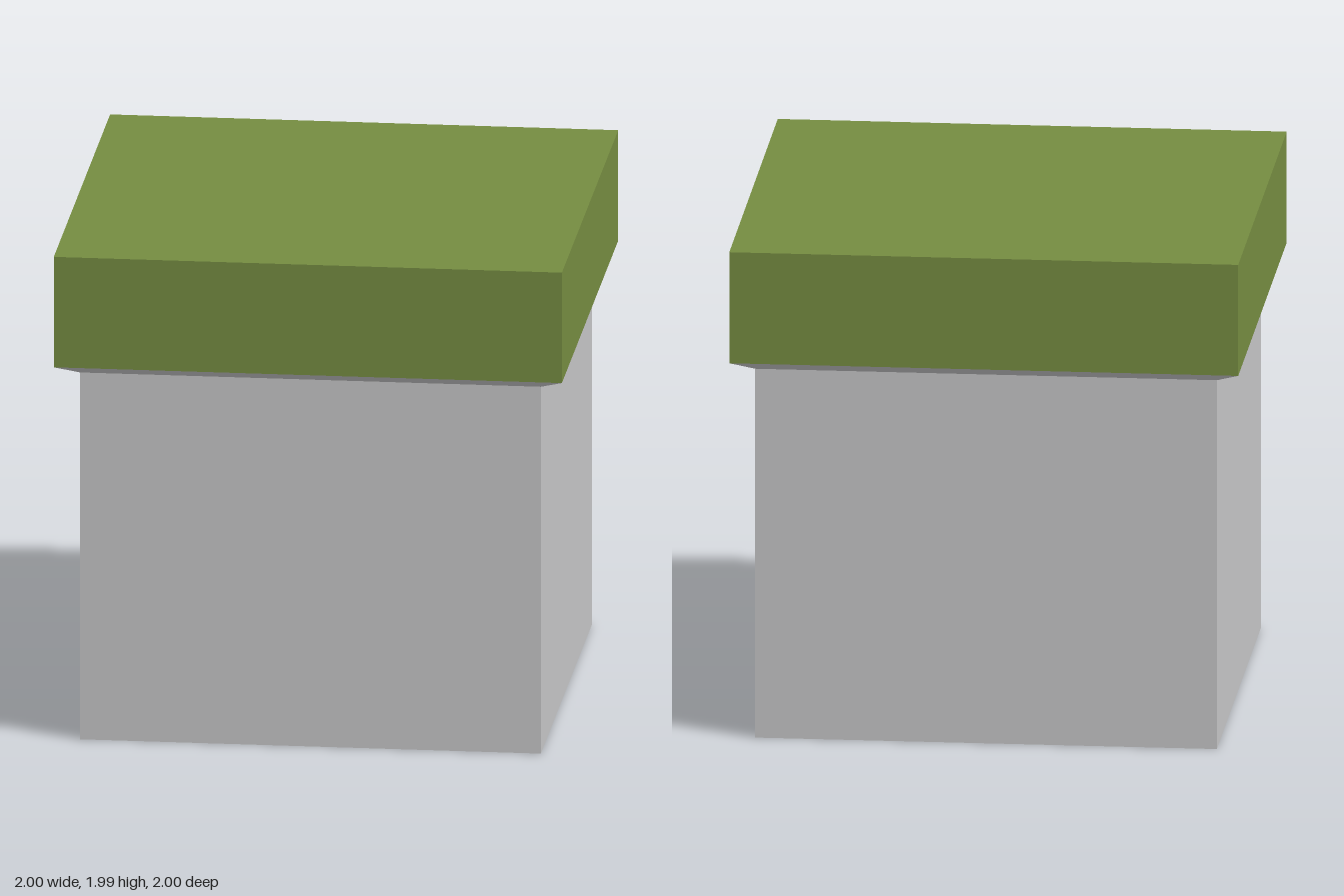
import * as THREE from 'three';

const BODY = 0.907, CAP = 1.0;
const Y_NECK = 1.495, Y_CAP = 1.54, Y_TOP = 1.99;

// Four-sided open band between two heights, given half widths
function squareBand(name, bottomHalf, topHalf, y0, y1, material) {
  const r = Math.SQRT2;
  let g = new THREE.CylinderGeometry(topHalf * r, bottomHalf * r, y1 - y0, 4, 1, true);
  g.rotateY(Math.PI / 4);
  g = g.toNonIndexed();
  g.computeVertexNormals();
  const mesh = new THREE.Mesh(g, material);
  mesh.name = name;
  mesh.position.y = (y0 + y1) / 2;
  return mesh;
}

export function createModel() {
  const grey = new THREE.MeshStandardMaterial({ color: 0xc6c6c7, side: THREE.DoubleSide });
  grey.name = 'light grey';
  const green = new THREE.MeshStandardMaterial({ color: 0x758c41, side: THREE.DoubleSide });
  green.name = 'moss green';

  const model = new THREE.Group();
  model.name = 'cappedBlock';

  // Hollow body, open underneath, with a flared neck below the cap
  model.add(squareBand('bodyWalls', BODY, BODY, 0, Y_NECK, grey));
  model.add(squareBand('flaredNeck', BODY, CAP, Y_NECK, Y_CAP, grey));

  // Overhanging cap: side band and flat top
  const cap = new THREE.Group();
  cap.name = 'cap';
  cap.add(squareBand('capSides', CAP, CAP, Y_CAP, Y_TOP, green));
  const top = new THREE.Mesh(new THREE.PlaneGeometry(2 * CAP, 2 * CAP).rotateX(-Math.PI / 2), green);
  top.name = 'capTop';
  top.position.y = Y_TOP;
  cap.add(top);
  model.add(cap);

  return model;
}
